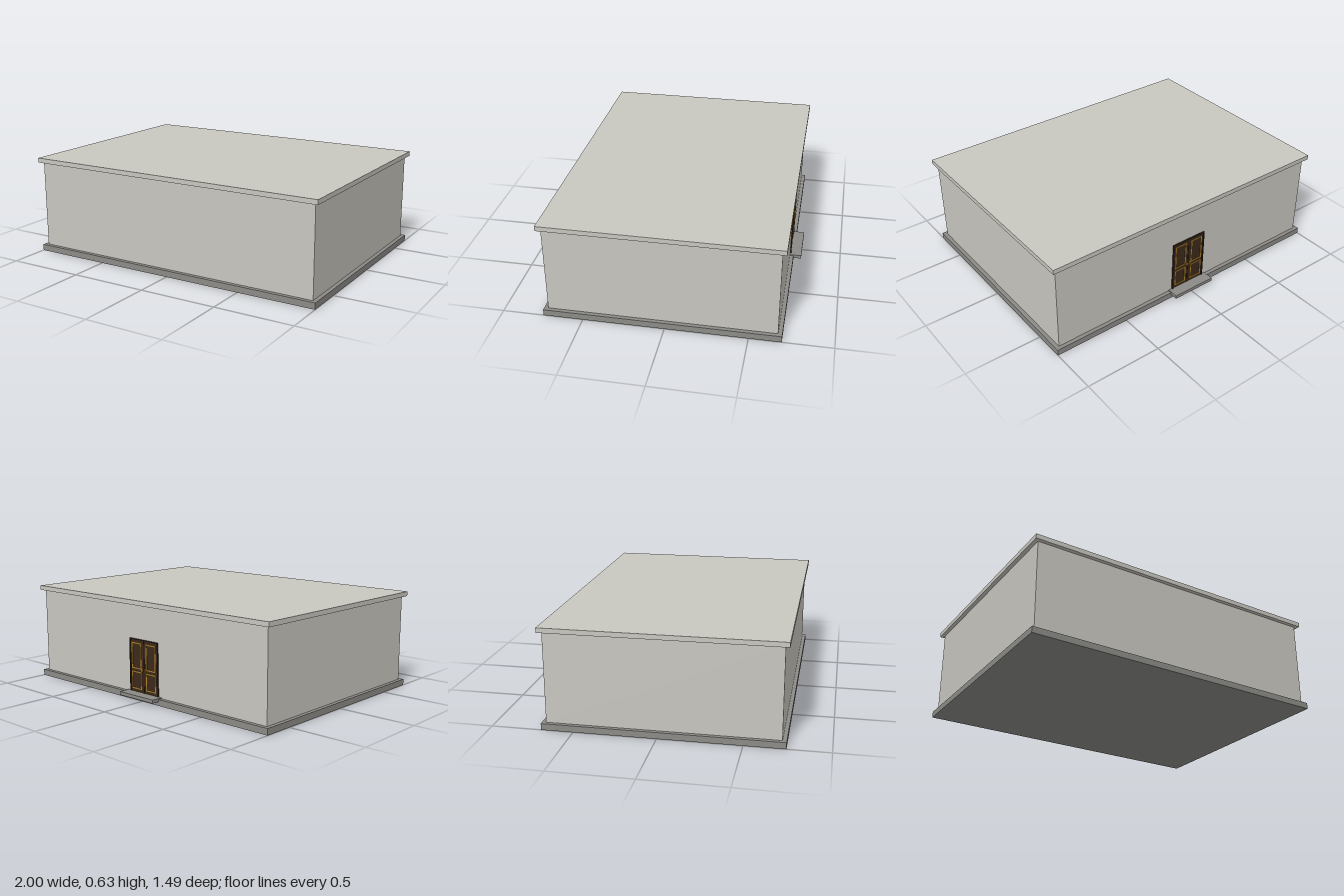
import * as THREE from 'three';

const material = (name, color) => {
  const m = new THREE.MeshStandardMaterial({ color });
  m.name = name;
  return m;
};

export function createModel() {
  const stone = material('pale stone', 0xc9c7c0);
  const plinth = material('grey stone', 0x8c8b87);
  const wood = material('dark wood', 0x3d2a1a);
  const frameWood = material('frame wood', 0x2c1e14);
  const gold = material('gold trim', 0xb5852c);

  const building = new THREE.Group();
  building.name = 'building';

  // Box given by its minimum and maximum on each axis
  const box = (parent, name, mat, x0, x1, y0, y1, z0, z1) => {
    const mesh = new THREE.Mesh(new THREE.BoxGeometry(x1 - x0, y1 - y0, z1 - z0), mat);
    mesh.position.set((x0 + x1) / 2, (y0 + y1) / 2, (z0 + z1) / 2);
    mesh.name = name;
    parent.add(mesh);
  };

  // Main masses
  box(building, 'base', plinth, -1, 1, 0, 0.04, -0.695, 0.745);
  box(building, 'walls', stone, -0.975, 0.975, 0.04, 0.6, -0.67, 0.72);
  box(building, 'roofSlab', stone, -1, 1, 0.6, 0.63, -0.695, 0.745);
  box(building, 'doorStep', plinth, -0.148, 0.148, 0.025, 0.047, -0.745, -0.671);

  // Double door on the rear wall
  const door = new THREE.Group();
  door.name = 'doubleDoor';
  building.add(door);
  const wall = -0.67, bottom = 0.045, top = 0.385;
  box(door, 'doorLeaves', wood, -0.116, 0.116, bottom, top - 0.008, wall - 0.004, wall);
  box(door, 'frameTop', frameWood, -0.125, 0.125, top - 0.008, top, wall - 0.008, wall);
  box(door, 'centrePost', frameWood, -0.004, 0.004, bottom, top - 0.008, wall - 0.006, wall);

  // Gold border around a door panel
  const border = (x0, x1, y0, y1) => {
    const w = 0.007;
    const shape = new THREE.Shape([
      new THREE.Vector2(x0, y0), new THREE.Vector2(x1, y0),
      new THREE.Vector2(x1, y1), new THREE.Vector2(x0, y1),
    ]);
    shape.holes.push(new THREE.Path([
      new THREE.Vector2(x0 + w, y0 + w), new THREE.Vector2(x0 + w, y1 - w),
      new THREE.Vector2(x1 - w, y1 - w), new THREE.Vector2(x1 - w, y0 + w),
    ]));
    const mesh = new THREE.Mesh(
      new THREE.ExtrudeGeometry(shape, { depth: 0.003, bevelEnabled: false }), gold);
    mesh.position.z = wall - 0.007;
    mesh.name = 'panelTrim';
    door.add(mesh);
  };

  for (const s of [-1, 1]) {
    const a = Math.min(s * 0.02, s * 0.106), b = Math.max(s * 0.02, s * 0.106);
    border(a, b, 0.195, 0.362);
    border(a, b, 0.065, 0.178);
    const j0 = Math.min(s * 0.116, s * 0.125), j1 = Math.max(s * 0.116, s * 0.125);
    box(door, 'frameJamb', frameWood, j0, j1, bottom, top, wall - 0.008, wall);
    // Handle beside the meeting post
    box(door, 'handle', gold, s * 0.012 - 0.004, s * 0.012 + 0.004, 0.18, 0.205, wall - 0.009, wall - 0.004);
  }
  return building;
}
